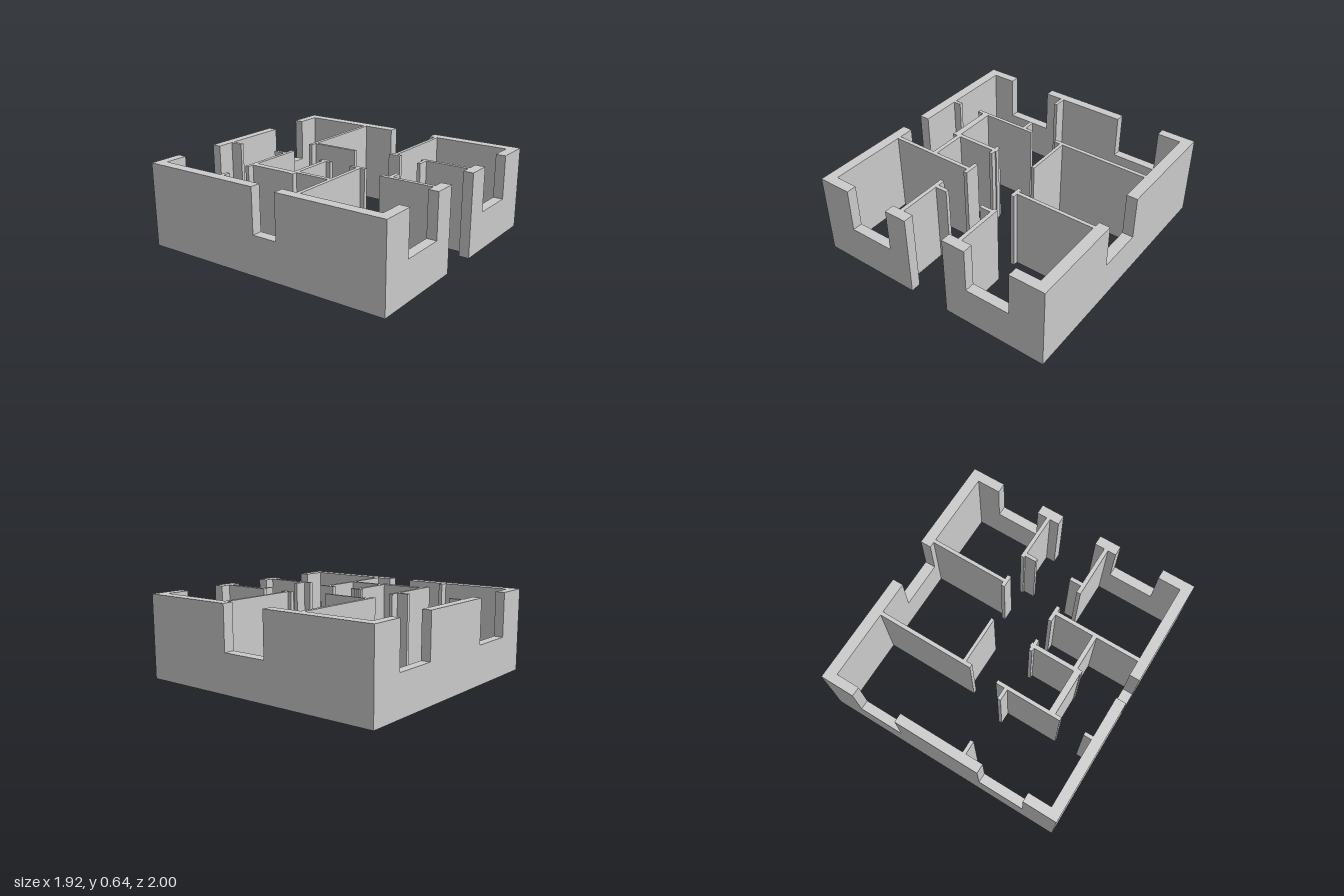
import * as THREE from 'three';

const HEIGHT = 0.64;
const SILL = 0.3;

export function createModel() {
  const house = new THREE.Group();
  house.name = 'floorPlan';
  const material = new THREE.MeshStandardMaterial({ color: 0xcccccc, flatShading: true });

  // Outer wall: elevation running from a to b, with window notches cut from the top
  function outerWall(name, a, b, thickness, windows) {
    const shape = new THREE.Shape();
    shape.moveTo(a, 0);
    shape.lineTo(b, 0);
    shape.lineTo(b, HEIGHT);
    for (const [w0, w1] of [...windows].reverse()) {
      shape.lineTo(w1, HEIGHT);
      shape.lineTo(w1, SILL);
      shape.lineTo(w0, SILL);
      shape.lineTo(w0, HEIGHT);
    }
    shape.lineTo(a, HEIGHT);
    shape.closePath();
    const geometry = new THREE.ExtrudeGeometry(shape, { depth: thickness, bevelEnabled: false });
    const mesh = new THREE.Mesh(geometry, material);
    mesh.name = name;
    house.add(mesh);
    return mesh;
  }

  // Front wall in two halves around the doorway, and the back wall
  outerWall('frontWallRight', -0.96, -0.165, 0.078, [[-0.7, -0.34]]).position.z = 0.922;
  outerWall('frontWallLeft', 0.155, 0.96, 0.078, [[0.34, 0.69]]).position.z = 0.922;
  outerWall('backWall', -0.96, 0.96, 0.072, [[-0.7, -0.34], [0.335, 0.69]]).position.z = -1;

  // Side walls fit between front and back; turned so the profile runs along z
  const left = outerWall('leftWall', -0.928, 0.922, 0.085, [[-0.115, 0.25]]);
  left.rotation.y = -Math.PI / 2;
  left.position.x = 0.96;
  const right = outerWall('rightWall', -0.928, 0.922, 0.08, [[-0.045, 0.15]]);
  right.rotation.y = -Math.PI / 2;
  right.position.x = -0.88;

  // Inner partitions: name, x range, z range
  const partitions = [
    ['backRoomStub', -0.205, -0.178, -0.928, -0.83],
    ['backRoomJamb', -0.205, -0.178, -0.485, -0.395],
    ['backRightStub', -0.88, -0.818, -0.395, -0.367],
    ['backRightPartition', -0.63, -0.11, -0.395, -0.367],
    ['backLeftPartition', 0.105, 0.875, -0.397, -0.367],
    ['hallLeftPartition', 0.155, 0.18, -0.367, 0.005],
    ['closetPartition', -0.58, -0.53, -0.367, -0.032],
    ['middlePartition', -0.585, -0.168, -0.032, 0],
    ['middleJambBack', -0.205, -0.178, -0.06, -0.032],
    ['middleJambFront', -0.205, -0.178, 0, 0.038],
    ['bathPartition', -0.545, -0.512, 0, 0.27],
    ['frontRightPartition', -0.88, -0.205, 0.27, 0.3],
    ['frontRightJamb', -0.205, -0.175, 0.21, 0.337],
    ['frontLeftPartition', 0.26, 0.875, 0.295, 0.323],
    ['frontLeftJamb', 0.23, 0.26, 0.265, 0.36],
    ['entryRightPartition', -0.275, -0.243, 0.507, 0.922],
    ['entryRightStub', -0.243, -0.15, 0.565, 0.595],
    ['entryLeftPartition', 0.23, 0.26, 0.543, 0.922],
    ['entryLeftStub', 0.14, 0.23, 0.56, 0.587],
  ];
  for (const [name, x0, x1, z0, z1] of partitions) {
    const mesh = new THREE.Mesh(new THREE.BoxGeometry(x1 - x0, HEIGHT, z1 - z0), material);
    mesh.position.set((x0 + x1) / 2, HEIGHT / 2, (z0 + z1) / 2);
    mesh.name = name;
    house.add(mesh);
  }

  return house;
}
